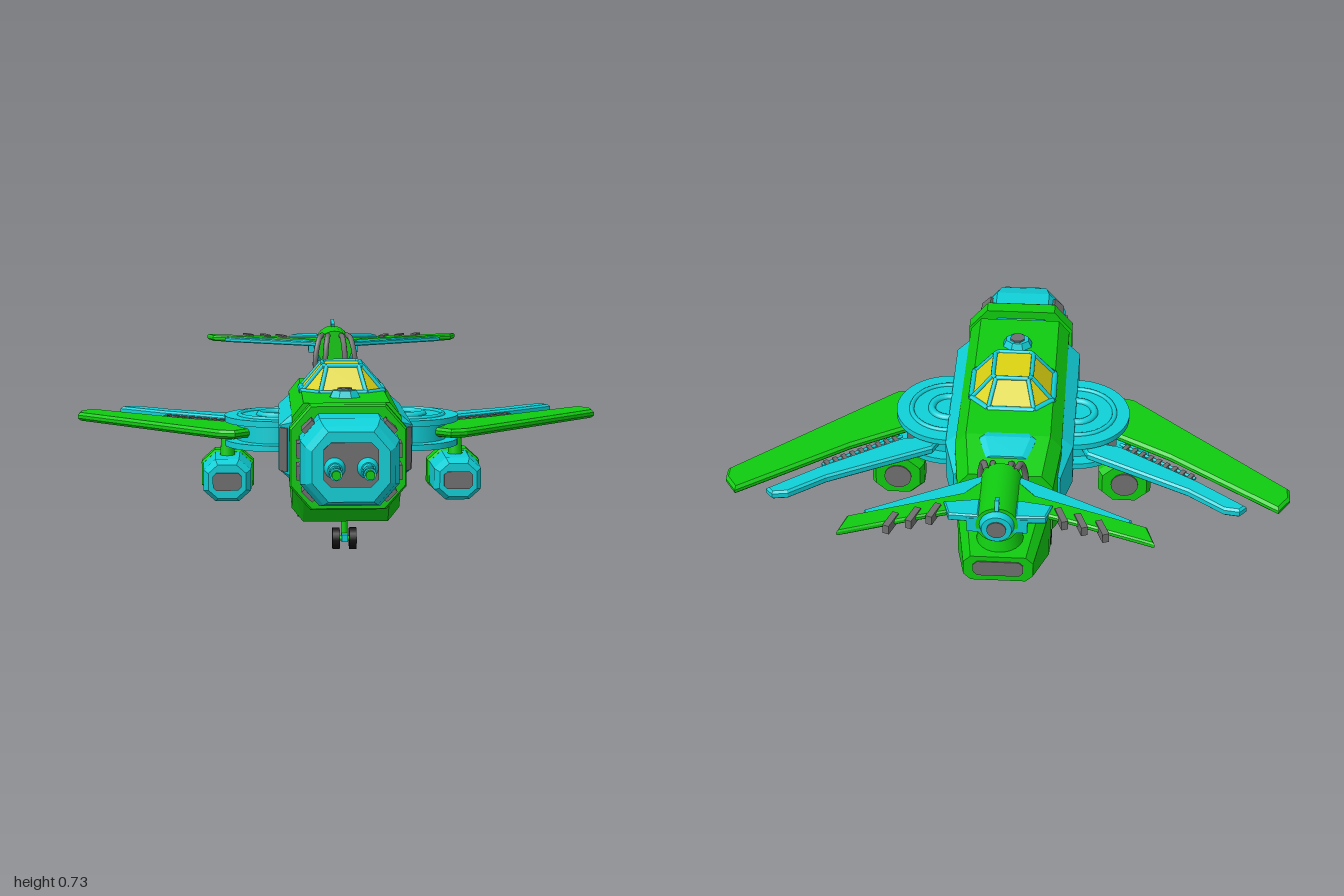
import * as THREE from 'three';

const mat = (name, color) => Object.assign(new THREE.MeshStandardMaterial({ color }), { name });

export function createModel() {
  const root = new THREE.Group();
  root.name = 'gunship';
  const green = mat('green', 0x10cc10), cyan = mat('cyan', 0x10d0d8), yellow = mat('yellow', 0xdcd412);
  const grey = mat('grey', 0x707070), black = mat('black', 0x141414);

  const add = (name, geo, m, x = 0, y = 0, z = 0) => {
    const mesh = new THREE.Mesh(geo, m);
    mesh.name = name;
    mesh.position.set(x, y, z);
    root.add(mesh);
    return mesh;
  };
  const box = (name, m, w, h, d, x, y, z) => add(name, new THREE.BoxGeometry(w, h, d), m, x, y, z);
  // Cylinder along an axis, r1 at the positive end
  const cyl = (name, m, axis, r1, r2, len, x, y, z, n = 24) => {
    let g = new THREE.CylinderGeometry(r1, r2, len, n);
    if (n < 12) { g.rotateY(Math.PI / n); g = g.toNonIndexed(); g.computeVertexNormals(); }
    if (axis === 'z') g.rotateX(Math.PI / 2);
    if (axis === 'x') g.rotateZ(-Math.PI / 2);
    return add(name, g, m, x, y, z);
  };
  const rod = (name, m, a, b, r) => {
    const A = new THREE.Vector3(...a), B = new THREE.Vector3(...b), d = B.clone().sub(A);
    const mesh = add(name, new THREE.CylinderGeometry(r, r, d.length(), 8), m);
    mesh.position.copy(A).add(B).multiplyScalar(0.5);
    mesh.quaternion.setFromUnitVectors(new THREE.Vector3(0, 1, 0), d.normalize());
  };
  // Flat-faced skin through matching rings, with end caps
  const loft = (name, m, rings) => {
    const v = [], n = rings[0].length, last = rings[rings.length - 1];
    for (let k = 0; k < rings.length - 1; k++) for (let i = 0; i < n; i++) {
      const p = rings[k], q = rings[k + 1], j = (i + 1) % n;
      v.push(...p[i], ...q[i], ...q[j], ...p[i], ...q[j], ...p[j]);
    }
    for (let i = 1; i < n - 1; i++) {
      v.push(...rings[0][0], ...rings[0][i], ...rings[0][i + 1]);
      v.push(...last[0], ...last[i + 1], ...last[i]);
    }
    const g = new THREE.BufferGeometry();
    g.setAttribute('position', new THREE.Float32BufferAttribute(v, 3));
    g.computeVertexNormals();
    return add(name, g, m);
  };
  // Chamfered cross-section at z; tilt moves its top forward
  const oct = (z, w, y0, y1, cx, ct, cb = ct, tilt = 0, ox = 0) =>
    [[w, y0 + cb], [w, y1 - ct], [w - cx, y1], [cx - w, y1], [-w, y1 - ct], [-w, y0 + cb], [cx - w, y0], [w - cx, y0]]
      .map(([x, y]) => [x + ox, y, z + tilt * (y - y0) / (y1 - y0)]);
  // Flat outline in x and z, extruded upward with bevelled edges
  const plate = (name, m, pts, s, y, h, b) => {
    const shape = new THREE.Shape(pts.map(([x, z]) => new THREE.Vector2(s * x, -z)));
    const g = new THREE.ExtrudeGeometry(shape, {
      depth: h - 2 * b, bevelEnabled: true, bevelThickness: b, bevelSize: b, bevelOffset: -b, bevelSegments: 1 });
    return add(name, g.rotateX(-Math.PI / 2), m, 0, y - h / 2 + b, 0);
  };

  // Fuselage and side armour
  loft('fuselage', green, [oct(0.47, 0.19, 0.24, 0.555, 0.04, 0.05, 0.03), oct(0.37, 0.19, 0.12, 0.555, 0.04, 0.05),
    oct(-0.26, 0.19, 0.12, 0.555, 0.04, 0.05), oct(-0.44, 0.168, 0.25, 0.515, 0.04, 0.05, 0.03)]);
  loft('sideArmour', cyan, [oct(0.37, 0.194, 0.255, 0.508, 0.04, 0.03, 0.03, 0.045),
    oct(0.345, 0.235, 0.265, 0.505, 0.045, 0.04, 0.04, 0.045), oct(-0.2, 0.23, 0.265, 0.505, 0.045, 0.04),
    oct(-0.34, 0.19, 0.27, 0.46, 0.04, 0.03)]);
  for (const s of [-1, 1]) {
    const slot = box('armourSlot', grey, 0.03, 0.16, 0.008, s * 0.217, 0.38, 0.382);
    slot.rotation.set(0.18, s * 0.55, 0);
  }
  loft('rearHatch', cyan, [oct(-0.25, 0.095, 0.5, 0.556, 0.02, 0.01), oct(-0.28, 0.1, 0.5, 0.562, 0.02, 0.01),
    oct(-0.365, 0.075, 0.5, 0.54, 0.02, 0.01)]);

  // Dorsal sensor
  const sensor = cyl('sensorBase', cyan, 'y', 0.045, 0.06, 0.03, 0, 0.565, 0.305, 8);
  sensor.scale.z = 0.8;
  cyl('sensorLens', grey, 'y', 0.028, 0.028, 0.008, 0, 0.583, 0.305, 8);

  // Canopy glass and frame
  const ring = (w, z0, z1, c, y) => [[w, z1 - c], [w, z0 + c], [w - c, z0], [c - w, z0], [-w, z0 + c], [-w, z1 - c],
    [c - w, z1], [w - c, z1]].map(([x, z]) => [x, y, z]);
  const top = ring(0.07, -0.04, 0.125, 0.012, 0.645), base = ring(0.148, -0.105, 0.19, 0.065, 0.552);
  loft('canopyGlass', yellow, [top, base]);
  for (let i = 0; i < 8; i++) {
    const j = (i + 1) % 8;
    rod('canopyFrame', cyan, base[i], base[j], 0.012);
    rod('canopyFrame', cyan, top[i], top[j], 0.008);
    rod('canopyFrame', cyan, base[i], top[i], 0.008);
  }

  // Neck, collar and nose
  loft('neck', cyan, [oct(0.52, 0.15, 0.23, 0.53, 0.06, 0.07), oct(0.465, 0.15, 0.23, 0.53, 0.06, 0.07)]);
  loft('collar', green, [oct(0.58, 0.195, 0.205, 0.557, 0.07, 0.08), oct(0.57, 0.2, 0.2, 0.562, 0.07, 0.08),
    oct(0.515, 0.2, 0.2, 0.562, 0.07, 0.08)]);
  loft('nose', cyan, [oct(0.785, 0.13, 0.265, 0.5, 0.055, 0.065), oct(0.755, 0.15, 0.25, 0.515, 0.06, 0.07),
    oct(0.69, 0.167, 0.235, 0.533, 0.065, 0.075), oct(0.57, 0.167, 0.235, 0.533, 0.065, 0.075)]);
  loft('nosePlate', grey, [oct(0.79, 0.092, 0.315, 0.465, 0.025, 0.025), oct(0.782, 0.092, 0.315, 0.465, 0.025, 0.025)]);
  for (const s of [-1, 1]) {
    for (const [x, y, a] of [[0.135, 0.497, 0.8], [0.165, 0.42, 0], [0.165, 0.345, 0], [0.135, 0.271, -0.8]])
      box('noseVent', grey, 0.026, 0.05, 0.085, s * x, y, 0.632).rotation.z = s * a;
    cyl('gunMount', cyan, 'z', 0.024, 0.036, 0.035, s * 0.055, 0.38, 0.805);
    cyl('gunSleeve', cyan, 'z', 0.02, 0.02, 0.05, s * 0.055, 0.38, 0.84);
    cyl('gunBarrel', green, 'z', 0.015, 0.015, 0.12, s * 0.055, 0.38, 0.88);
    cyl('gunBand', cyan, 'z', 0.021, 0.021, 0.02, s * 0.055, 0.38, 0.91);
  }

  // Tail boom
  loft('tailJoint', cyan, [oct(-0.43, 0.13, 0.25, 0.47, 0.03, 0.03), oct(-0.47, 0.13, 0.25, 0.44, 0.03, 0.03)]);
  loft('tailBoom', green, [oct(-0.457, 0.155, 0.212, 0.452, 0.03, 0.03), oct(-0.475, 0.164, 0.205, 0.457, 0.03, 0.03),
    oct(-0.53, 0.16, 0.208, 0.457, 0.03, 0.03), oct(-0.805, 0.118, 0.352, 0.455, 0.025, 0.025)]);
  loft('tailExhaust', grey, [oct(-0.8, 0.085, 0.375, 0.435, 0.015, 0.015), oct(-0.809, 0.085, 0.375, 0.435, 0.015, 0.015)]);

  // Tail head on its pedestal
  cyl('pedestal', green, 'y', 0.07, 0.08, 0.055, 0, 0.482, -0.7);
  cyl('pedestalNeck', green, 'y', 0.058, 0.065, 0.09, 0, 0.54, -0.7);
  cyl('tailHead', green, 'z', 0.07, 0.07, 0.24, 0, 0.632, -0.73);
  cyl('tailPivot', cyan, 'x', 0.035, 0.035, 0.156, 0, 0.607, -0.7);
  box('tailWingRoot', cyan, 0.2, 0.055, 0.1, 0, 0.63, -0.8);
  cyl('tailNozzle', cyan, 'z', 0.062, 0.05, 0.035, 0, 0.632, -0.855);
  cyl('tailNozzleCore', grey, 'z', 0.032, 0.032, 0.008, 0, 0.632, -0.873);
  box('tailAntenna', cyan, 0.014, 0.035, 0.045, 0, 0.705, -0.83).rotation.x = 0.4;
  for (const x of [-0.07, -0.035, 0.035, 0.07]) {
    const path = new THREE.CatmullRomCurve3([[0.7, 0.685, -0.63], [0.9, 0.675, -0.575], [1.1, 0.61, -0.548],
      [1.1, 0.55, -0.553], [0.8, 0.505, -0.6], [0.7, 0.495, -0.66]].map(([k, y, z]) => new THREE.Vector3(x * k, y, z)));
    add('hose', new THREE.TubeGeometry(path, 20, 0.011, 8), grey);
  }

  for (const s of [-1, 1]) {
    // Tail wing with leading strip and ribs
    plate('tailWing', green, [[0.05, -0.63], [0.07, -0.66], [0.12, -0.72], [0.49, -0.86], [0.515, -0.945], [0.25, -0.85],
      [0.16, -0.82], [0.05, -0.8]], s, 0.65, 0.022, 0.006);
    plate('tailWingStrip', cyan, [[0.06, -0.62], [0.44, -0.825], [0.43, -0.86], [0.06, -0.72]], s, 0.648, 0.018, 0.004);
    plate('tailWingInset', cyan, [[0.06, -0.76], [0.18, -0.78], [0.16, -0.845], [0.06, -0.85]], s, 0.655, 0.03, 0.005);
    for (const [x, z] of [[0.21, -0.825], [0.275, -0.85], [0.345, -0.88]])
      box('tailWingRib', grey, 0.022, 0.034, 0.075, s * x, 0.65, z).rotation.y = -s * 0.35;

    // Swing-wing turntable
    for (const y of [0.445, 0.357]) cyl('turntablePlate', cyan, 'y', 0.2, 0.2, 0.022, s * 0.23, y, 0.025, 48);
    cyl('turntableCore', cyan, 'y', 0.155, 0.155, 0.09, s * 0.23, 0.4, 0.025, 48);
    for (const [r, t] of [[0.14, 0.009], [0.065, 0.014]])
      add('turntableRing', new THREE.TorusGeometry(r, t, 8, 40).rotateX(Math.PI / 2), cyan, s * 0.235, 0.456, 0.025);
    for (const z of [-0.06, 0.11]) box('turntableClamp', grey, 0.03, 0.035, 0.03, s * 0.37, 0.4, z);

    // Main wing and rear slotted wing
    plate('mainWing', green, [[0.3, 0.1], [0.39, 0.185], [0.45, 0.17], [1, -0.33], [1, -0.385], [0.957, -0.449],
      [0.58, -0.17], [0.36, -0.04]], s, 0.402, 0.032, 0.01);
    plate('rearWing', cyan, [[0.25, -0.1], [0.4, -0.13], [0.68, -0.315], [0.845, -0.445], [0.82, -0.473], [0.765, -0.465],
      [0.64, -0.37], [0.28, -0.18]], s, 0.408, 0.034, 0.008);
    for (let i = 0; i < 9; i++) {
      const t = i / 8;
      box('wingSlat', grey, 0.016, 0.02, 0.035, s * (0.42 + 0.23 * t), 0.405, -0.125 - 0.155 * t).rotation.y = s * 0.59;
    }
    rod('slatRail', cyan, [s * 0.4, 0.405, -0.095], [s * 0.67, 0.405, -0.28], 0.006);

    // Engine pod under the wing
    const px = s * 0.42, pod = (z, r) => oct(z, r, 0.23 - r * 0.9, 0.23 + r * 0.9, r * 0.5, r * 0.45, r * 0.45, 0, px);
    loft('enginePod', cyan, [pod(0.17, 0.068), pod(0.135, 0.086), pod(-0.03, 0.09)]);
    loft('engineBand', green, [pod(-0.015, 0.09), pod(-0.025, 0.097), pod(-0.085, 0.097), pod(-0.11, 0.082)]);
    loft('engineIntake', grey, [oct(0.176, 0.052, 0.198, 0.262, 0.012, 0.012, 0.012, 0, px),
      oct(0.168, 0.052, 0.198, 0.262, 0.012, 0.012, 0.012, 0, px)]);
    cyl('engineExhaust', grey, 'z', 0.05, 0.05, 0.008, px, 0.23, -0.111);
    cyl('enginePylon', green, 'y', 0.02, 0.028, 0.1, px, 0.35, 0.04, 16);
  }

  // Landing gear: one nose leg and two main legs
  for (const [x, y, z] of [[0, 0.039, 0.27], [-0.115, 0.065, -0.215], [0.115, 0.065, -0.215]]) {
    cyl('gearStrut', green, 'y', 0.012, 0.012, 0.135 - y, x, (0.135 + y) / 2, z, 12);
    cyl('gearAxle', green, 'x', 0.009, 0.009, 0.075, x, y, z, 12);
    box('gearBracket', cyan, 0.022, 0.025, 0.05, x, y + 0.008, z + 0.02);
    for (const s of [-1, 1]) cyl('wheel', black, 'x', 0.039, 0.039, 0.026, x + s * 0.03, y, z, 20);
  }
  return root;
}
